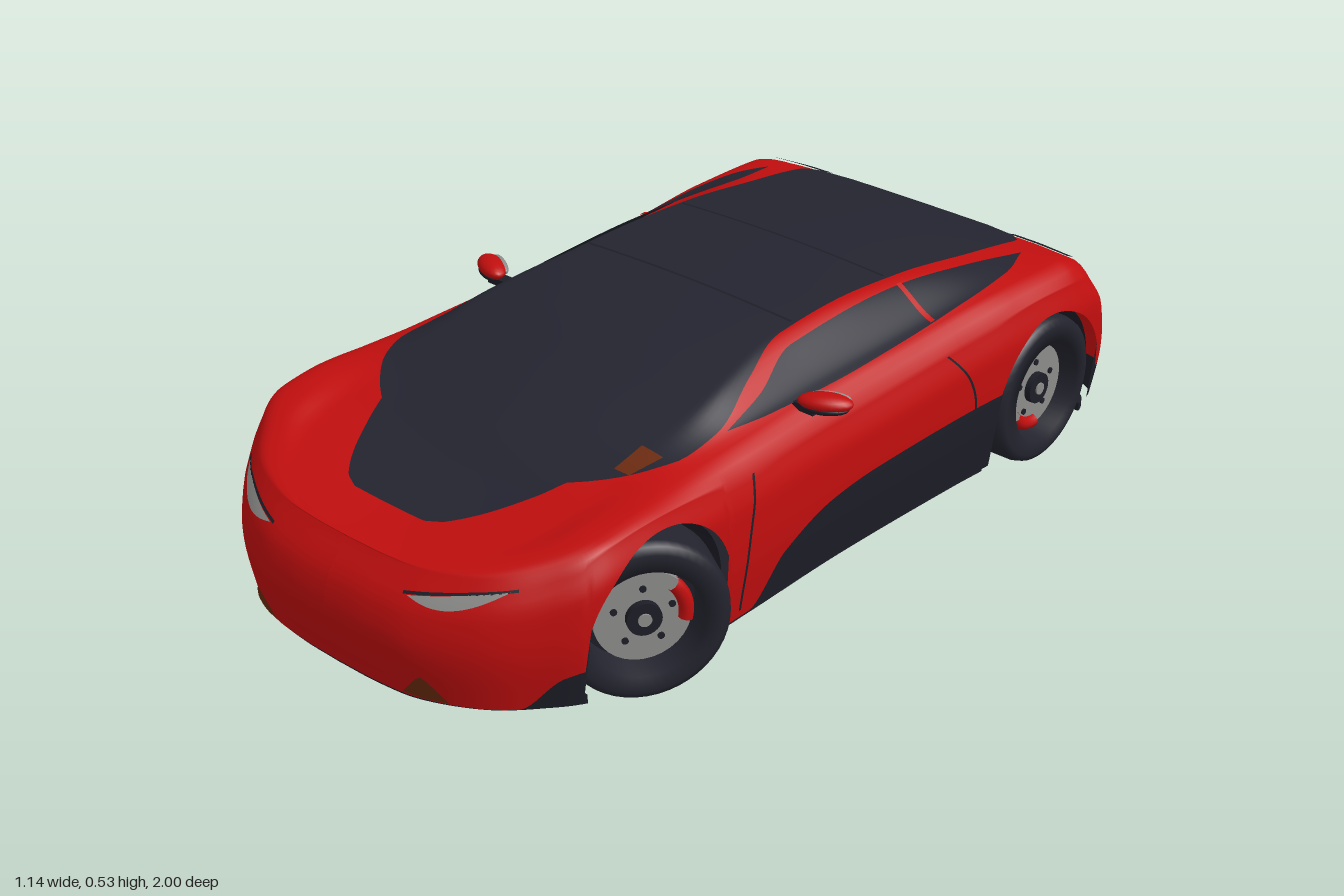
import * as THREE from 'three';

const paint = (name, color) => new THREE.MeshStandardMaterial({ name, color, side: THREE.DoubleSide });
const red = paint('red paint', 0xc00e0e);
const glass = paint('dark glass', 0x242430);
const black = paint('black trim', 0x1d1d27);
const tyreBlack = paint('tyre rubber', 0x23232e);
const silver = paint('silver metal', 0x8c8c8a);
const amber = paint('brown amber', 0x6b2a10);

// Smooth monotone interpolation through ascending [t, value] keys
function interp(k, t) {
  const n = k.length - 1;
  if (t <= k[0][0]) return k[0][1];
  if (t >= k[n][0]) return k[n][1];
  let i = 0;
  while (t > k[i + 1][0]) i++;
  const sec = (j) => (k[j + 1][1] - k[j][1]) / (k[j + 1][0] - k[j][0]);
  const slope = (j) => {
    if (j === 0) return sec(0);
    if (j === n) return sec(n - 1);
    const a = sec(j - 1), b = sec(j);
    return a * b <= 0 ? 0 : (2 * a * b) / (a + b);
  };
  const h = k[i + 1][0] - k[i][0], s = (t - k[i][0]) / h, r = 1 - s;
  return k[i][1] * (1 + 2 * s) * r * r + slope(i) * h * s * r * r
    + k[i + 1][1] * s * s * (3 - 2 * s) - slope(i + 1) * h * s * s * r;
}

// Plan outline of half the body, nose to tail
const outlineKeys = [[0, 1], [.12, .996], [.22, .98], [.35, .915], [.43, .835], [.488, .75], [.505, .62], [.5, .3],
  [.492, 0], [.5, -.4], [.51, -.6], [.51, -.86], [.485, -.945], [.3, -.985], [0, -1]];
const outline = new THREE.CatmullRomCurve3(outlineKeys.map(([x, z]) => new THREE.Vector3(x, 0, z)))
  .getSpacedPoints(260);
const sideX = outline.map((p) => [p.z, p.x]).reverse();
const noseKeys = outlineKeys.slice(0, 6);

// Heights along z: body edge, centre line, roof edge, belt, fender crown; and roof edge as a part of the width
const edgeY = [[-1, .39], [-.86, .41], [-.7, .415], [-.4, .4], [0, .385], [.3, .385], [.57, .395], [.7, .385], [.82, .35], [1, .32]];
const centreY = [[-.94, .4], [-.85, .445], [-.61, .49], [-.39, .517], [-.18, .525], [.01, .52], [.2, .5], [.36, .465],
  [.57, .405], [.65, .375], [.82, .34], [.93, .322]];
const roofY = [[-.94, .4], [-.85, .442], [-.61, .48], [-.39, .508], [-.18, .518], [0, .512], [.2, .485], [.36, .445],
  [.5, .412], [.65, .383], [.82, .35], [.93, .322]];
const beltY = [[-.94, .4], [-.8, .45], [-.6, .455], [-.3, .445], [0, .438], [.36, .42], [.57, .405], [.7, .39], [.82, .355], [.93, .322]];
const fenderY = [[-.94, .4], [-.8, .443], [-.6, .445], [-.3, .43], [0, .42], [.36, .41], [.57, .405], [.7, .39], [.82, .354], [.93, .322]];
const roofPart = [[-.9, .68], [-.4, .63], [0, .62], [.3, .7], [.9, .7]];
// Lower limit of the red paint
const paintY = [[-1, .15], [-.5, .24], [-.1, .23], [.05, .215], [.2, .16], [.3, .06], [.7, .06], [.76, .14], [.8, .13], [.87, .06], [1, .06]];
// Wall profile from bottom (0) to top edge (1)
const wallX = [[0, .965], [.5, 1], [.78, .995], [1, .95]];
const wallZ = [[0, .975], [.5, 1], [.75, .985], [1, .93]];

const axleY = .175, archR = .195, axles = [.57, -.71];

function wall(x, z, y) {
  const w = (y - .05) / (interp(edgeY, z) - .05);
  return [x * interp(wallX, w), y, z * (1 - (1 - interp(wallZ, w)) * z ** 4)];
}
function bottomY(z) {
  for (const c of axles) if (Math.abs(z - c) < archR) return axleY + Math.sqrt(archR ** 2 - (z - c) ** 2);
  return z < -.9 ? .085 : .06;
}
const redBottom = (z) => Math.max(interp(paintY, z), bottomY(z));

function sectionY(x, z, xt, yt) {
  if (xt < .001) return yt;
  const r = interp(roofPart, z) * xt, yr = interp(roofY, z);
  return interp([[-r, yr], [0, interp(centreY, z)], [r, yr], [.86 * xt, interp(beltY, z)],
    [.94 * xt, interp(fenderY, z)], [xt, yt]], Math.abs(x));
}
const topEdge = outline.map((p) => wall(p.x, p.z, interp(edgeY, p.z))).reverse();
const edgeXAt = topEdge.map((p) => [p[2], p[0]]), edgeYAt = topEdge.map((p) => [p[2], p[1]]);
const topY = (x, z) => sectionY(x, z, interp(edgeXAt, z), interp(edgeYAt, z));

export function createModel() {
  const car = new THREE.Group();
  car.name = 'sportsCar';

  const add = (parent, name, geo, mat, x = 0, y = 0, z = 0) => {
    const m = new THREE.Mesh(geo, mat);
    m.name = name;
    m.position.set(x, y, z);
    parent.add(m);
    return m;
  };
  // Curved sheet whose points follow fn(u, v)
  const sheet = (name, mat, nu, nv, fn) => {
    const g = new THREE.PlaneGeometry(1, 1, nu, nv), p = g.attributes.position;
    for (let i = 0; i < p.count; i++) p.setXYZ(i, ...fn((i % (nu + 1)) / nu, Math.floor(i / (nu + 1)) / nv));
    g.computeVertexNormals();
    return add(car, name, g, mat);
  };
  // Thin plate lying on the upper body between two x limits
  const plate = (name, mat, z0, z1, inner, outer, lift = .006, n = 50) => sheet(name, mat, n, n, (u, v) => {
    const z = z0 + (z1 - z0) * v, a = inner(z), x = a + (outer(z) - a) * u;
    return [x * 1.006, topY(x, z) + lift, z];
  });

  // Painted shell: up one wall, across the top, down the other
  const nw = 14, nt = 60, cols = 2 * nw + nt;
  sheet('bodyShell', red, cols, outline.length - 1, (u, v) => {
    const p = outline[Math.round(v * (outline.length - 1))], j = Math.round(u * cols);
    const yt = interp(edgeY, p.z), yb = redBottom(p.z), side = j < cols / 2 ? -1 : 1;
    const k = Math.min(j, cols - j);
    if (k <= nw) {
      const q = wall(p.x, p.z, yb + (yt - yb) * k / nw);
      return [q[0] * side, q[1], q[2]];
    }
    const t = wall(p.x, p.z, yt), x = t[0] * (2 * (j - nw) / nt - 1);
    return [x, sectionY(x, t[2], t[0], yt), t[2]];
  });

  // Roof, windscreen and bonnet panels
  const roofW = [[-.875, .2], [-.86, .27], [-.82, .315], [-.4, .3], [-.2, .295], [0, .3], [.15, .345], [.3, .393], [.4, .4],
    [.48, .375], [.56, .31], [.64, .18], [.66, .06]];
  plate('roofGlass', glass, -.875, .66, (z) => -interp(roofW, z), (z) => interp(roofW, z), .007, 70);
  const scoopW = [[.58, .27], [.66, .235], [.8, .14], [.82, .1]];
  plate('bonnetPanel', glass, .58, .82, (z) => -interp(scoopW, z), (z) => interp(scoopW, z), .005);
  plate('cowlCorner', amber, .44, .52, () => .32, (z) => .36 + (.52 - z) * .2, .013, 8);
  for (const z of [-.36, -.05]) plate('roofSeam', black, z, z + .007, () => -.29, () => .29, .009, 30);

  const glassIn = [[-.76, .37], [-.6, .345], [-.3, .325], [0, .33], [.15, .375], [.28, .4]];
  const glassOut = [[-.76, .37], [-.65, .408], [-.5, .42], [-.1, .425], [.15, .415], [.28, .4]];

  for (const s of [1, -1]) {
    plate('sideWindow', glass, -.76, .28, (z) => s * interp(glassIn, z), (z) => s * interp(glassOut, z), .007, 60);
    plate('windowPillar', red, -.37, -.355, (z) => s * interp(glassIn, z), (z) => s * interp(glassOut, z), .011, 12);
    plate('tailLamp', black, -.885, -.855, () => s * .27, () => s * .43, .006, 16);

    // Black sill and bumper trim
    sheet('sillTrim', black, 6, outline.length - 1, (u, v) => {
      const p = outline[Math.round(v * (outline.length - 1))], yb = bottomY(p.z);
      const q = wall(p.x, p.z, yb + (redBottom(p.z) - yb) * u);
      return [s * q[0], q[1], q[2]];
    });
    // Door gaps
    for (const [za, ya, zb, yb] of [[.335, .08, .29, .375], [-.43, .24, -.35, .39]]) {
      sheet('doorGap', black, 1, 12, (u, v) => {
        const z = za + (zb - za) * v * v + (u - .5) * .007, q = wall(interp(sideX, z), z, ya + (yb - ya) * v);
        return [s * (q[0] + .003), q[1], q[2]];
      });
    }
    // Slim headlamps and lower indicators
    const onNose = (x, y) => {
      const q = wall(x, interp(noseKeys, x), y);
      return [s * (q[0] + .002), q[1] + .002, q[2] + .005];
    };
    sheet('headlamp', silver, 16, 3, (u, v) => onNose(.2 + .19 * u, .283 + .035 * u - .024 * v * Math.sin(Math.PI * u)));
    sheet('headlampBrow', black, 16, 1, (u, v) => onNose(.19 + .21 * u, .283 + .035 * u + .005 * v));
    sheet('lowerIndicator', amber, 8, 3, (u, v) =>
      onNose(.19 + .1 * u, .066 + .056 * v * Math.min(1, 2.2 * (1 - u), 2.2 * u)));

    // Door mirror
    const mirror = new THREE.Group();
    mirror.name = 'doorMirror';
    mirror.position.set(s * .482, .447, .07);
    mirror.rotation.y = s * .5;
    car.add(mirror);
    const ball = new THREE.SphereGeometry(1, 20, 12);
    add(mirror, 'mirrorCap', ball, red).scale.set(.058, .019, .03);
    add(mirror, 'mirrorBase', ball, black, 0, -.011, .002).scale.set(.05, .013, .027);
    add(mirror, 'mirrorGlass', ball, silver, s * .004, 0, -.022).scale.set(.046, .014, .012);
    add(car, 'mirrorStalk', new THREE.BoxGeometry(.06, .016, .03), black, s * .44, .428, .08);

    // Wheels and wheel wells; the front pair is steered
    axles.forEach((z, i) => {
      const liner = new THREE.CylinderGeometry(archR, archR, .195, 28, 1, true, 0, Math.PI).rotateZ(Math.PI / 2);
      add(car, 'wheelWell', liner, black, s * .377, axleY, z);
      const inner = new THREE.CircleGeometry(archR, 28, 0, Math.PI).rotateY(Math.PI / 2);
      add(car, 'wheelWellInner', inner, black, s * .28, axleY, z);

      const wheel = new THREE.Group();
      wheel.name = i ? 'rearWheel' : 'frontWheel';
      wheel.position.set(s * .43, axleY, z);
      wheel.rotation.y = (i ? 0 : -.55) + (s < 0 ? Math.PI : 0);
      car.add(wheel);
      const profile = [[.118, -.07], [.155, -.07], [.17, -.062], [.175, -.045], [.175, .045], [.17, .062], [.155, .07], [.118, .07], [.118, -.07]];
      add(wheel, 'tyre', new THREE.LatheGeometry(profile.map(([a, b]) => new THREE.Vector2(a, b)), 48).rotateZ(-Math.PI / 2), tyreBlack);
      const disc = (name, r, w, mat, x, y = 0, dz = 0) =>
        add(wheel, name, new THREE.CylinderGeometry(r, r, w, 32).rotateZ(-Math.PI / 2), mat, x, y, dz);
      disc('rimBack', .12, .02, black, -.02);
      disc('brakeDisc', .1, .02, silver, .025);
      disc('hub', .036, .03, black, .035);
      disc('hubCap', .014, .036, silver, .036);
      for (let k = 0; k < 5; k++) {
        const a = k * Math.PI * .4;
        disc('wheelBolt', .007, .03, black, .024, .062 * Math.cos(a), .062 * Math.sin(a));
      }
      const arc = new THREE.TorusGeometry(.088, .016, 8, 12, 1).rotateY(Math.PI / 2);
      add(wheel, 'brakeCaliper', arc, red, .034).rotation.x = i ? Math.PI * 1.2 : -.2;
    });
  }

  // Flat floor with wheel cut-outs
  const edge = outline.map((p) => [
    axles.some((c) => Math.abs(p.z - c) < archR) ? Math.min(p.x, .28) : p.x * .955, p.z * .97]);
  const ring = [...edge, ...edge.slice(1, -1).reverse().map(([x, z]) => [-x, z])];
  const floor = new THREE.ExtrudeGeometry(new THREE.Shape(ring.map(([x, z]) => new THREE.Vector2(x, z))),
    { depth: .02, bevelEnabled: false }).rotateX(Math.PI / 2);
  add(car, 'floor', floor, black, 0, .07, 0);

  // Rear number plate, left blank
  sheet('rearPlate', silver, 4, 2, (u, v) => {
    const q = wall(.14 * (u - .5), -1, .095 + .042 * v);
    return [q[0], q[1], q[2] - .004];
  });
  return car;
}
